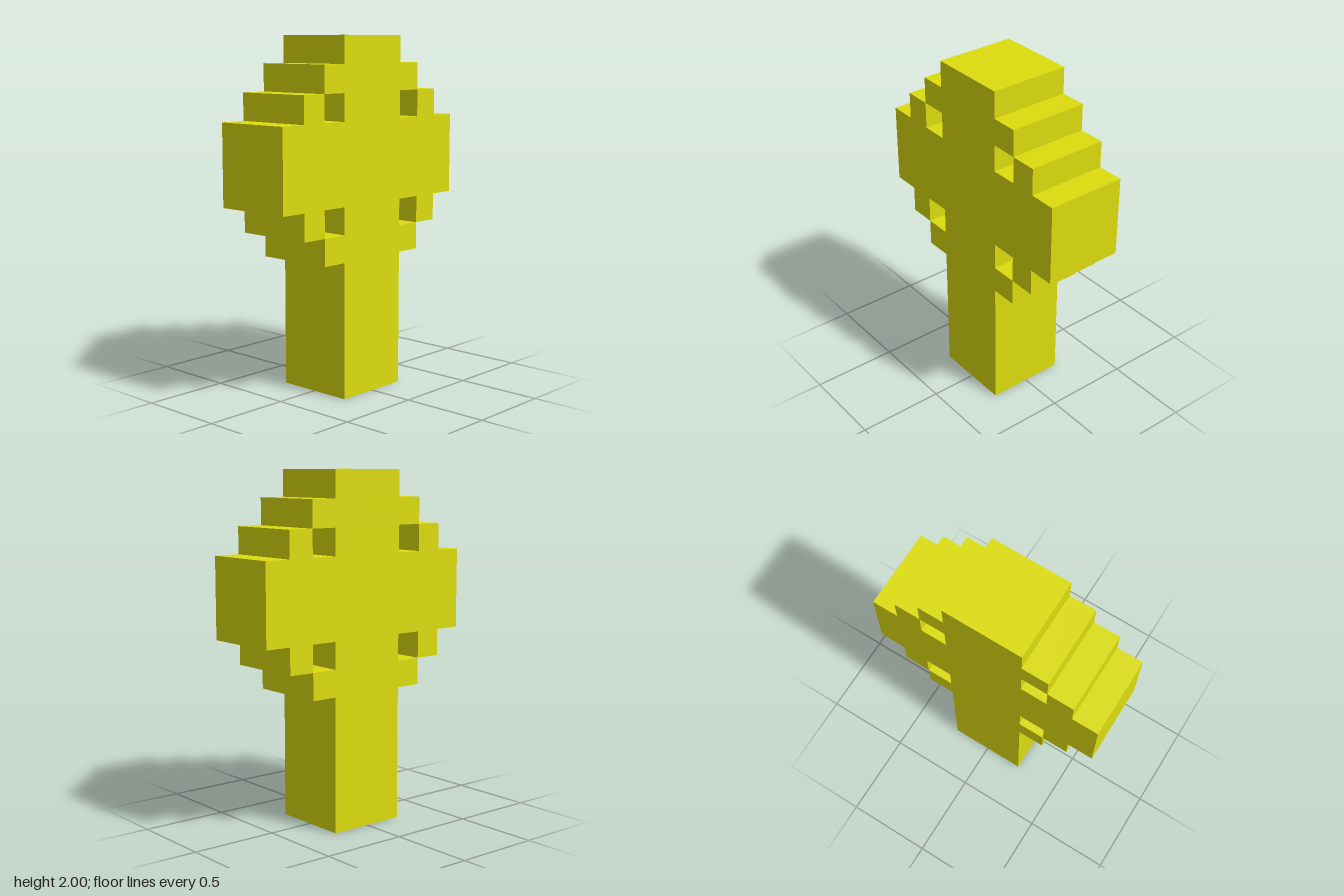
import * as THREE from 'three';

const U = 2 / 13; // one block of the stepped grid

export function createModel() {
  const model = new THREE.Group();
  const material = new THREE.MeshStandardMaterial({ color: 0xdddd0f, flatShading: true });

  // One quarter of the stepped ring, in blocks from the crossing; it folds in around the square opening
  const quarter = [
    [1.5, 4.5], [1.5, 3.5], [2.5, 3.5], [2.5, 2.5], [1.5, 2.5], [1.5, 1.5],
    [2.5, 1.5], [2.5, 2.5], [3.5, 2.5], [3.5, 1.5], [4.5, 1.5],
  ];

  // Four quarter turns close the outline; the lower arm is lengthened into the post
  const outline = [];
  for (let turn = 0; turn < 4; turn++) {
    for (const point of quarter) {
      let [x, y] = point;
      for (let i = 0; i < turn; i++) [x, y] = [y, -x];
      if (y === -4.5) y = -8.5;
      outline.push(new THREE.Vector2(x * U, (y + 8.5) * U));
    }
  }

  // Extrude three blocks thick, with the profile facing sideways
  const geometry = new THREE.ExtrudeGeometry(new THREE.Shape(outline), { depth: 3 * U, bevelEnabled: false });
  geometry.translate(0, 0, -1.5 * U).rotateY(Math.PI / 2);

  const cross = new THREE.Mesh(geometry, material);
  cross.name = 'ringedCross';
  model.add(cross);
  return model;
}
